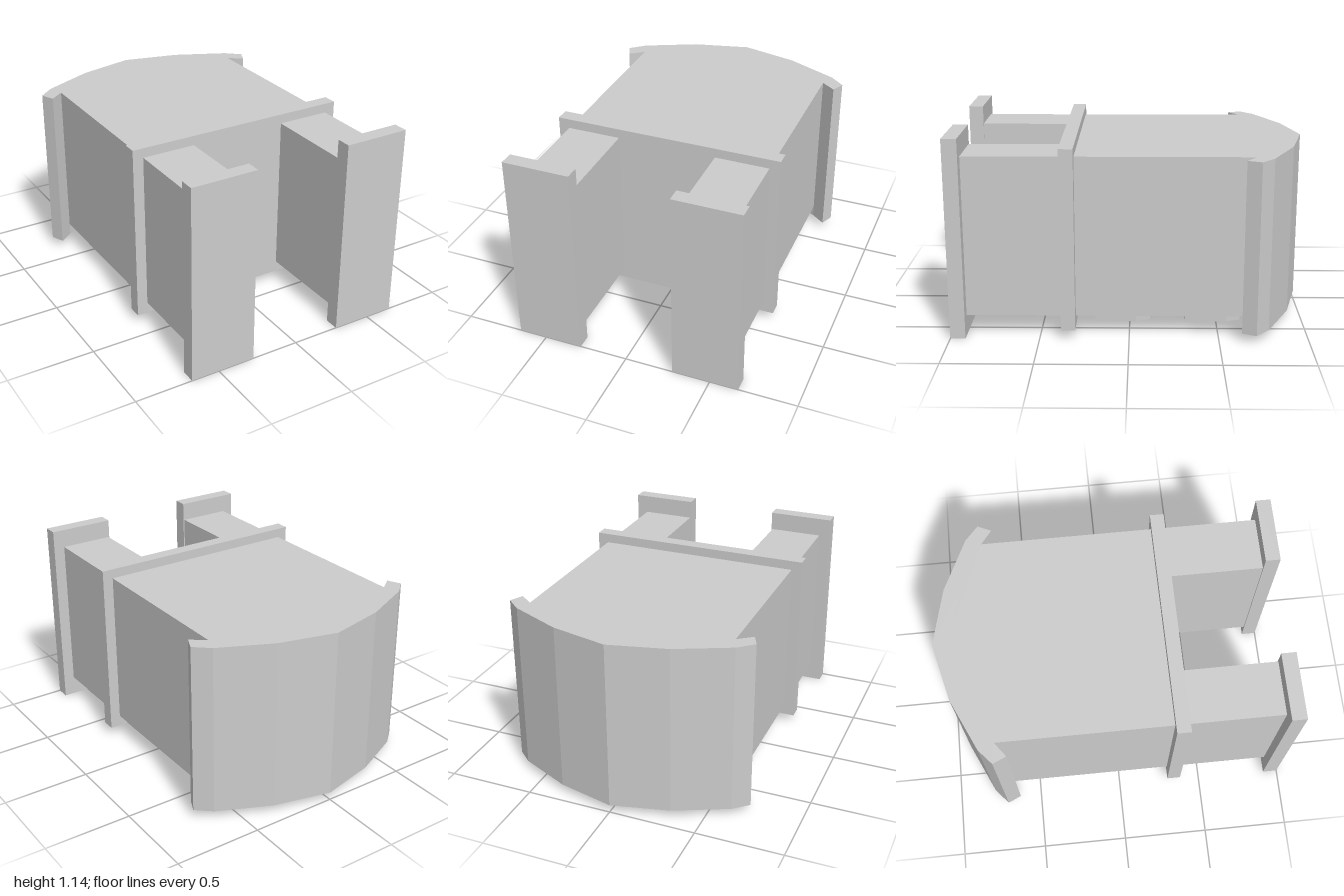
import * as THREE from 'three';

const stone = new THREE.MeshStandardMaterial({ color: 0xcccccc });
stone.name = 'light grey';

// Box given by its limits on each axis
function box(name, [x0, x1], [y0, y1], [z0, z1]) {
  const mesh = new THREE.Mesh(new THREE.BoxGeometry(x1 - x0, y1 - y0, z1 - z0), stone);
  mesh.position.set((x0 + x1) / 2, (y0 + y1) / 2, (z0 + z1) / 2);
  mesh.name = name;
  return mesh;
}

// Plan outline in (x, z), extruded from y0 up to y1
function slab(name, shape, y0, y1) {
  const geo = new THREE.ExtrudeGeometry(shape, { depth: y1 - y0, bevelEnabled: false });
  geo.rotateX(Math.PI / 2);
  geo.translate(0, y1, 0);
  const mesh = new THREE.Mesh(geo, stone);
  mesh.name = name;
  return mesh;
}

const points = (list) => list.map(([x, z]) => new THREE.Vector2(x, z));
const mirrored = (list) => list.map(([x, z]) => [-x, z]).reverse();

// Arched outline: straight sill at z0, faceted round head ending at z1
function arch(cx, half, z0, z1) {
  const pts = [[cx - half, z0], [cx + half, z0]];
  for (let i = 0; i <= 4; i++) {
    const a = (i / 4) * Math.PI;
    pts.push([cx + half * Math.cos(a), z1 + half - half * Math.sin(a)]);
  }
  return points(pts);
}

export function createModel() {
  const model = new THREE.Group();
  model.name = 'gatehouse';

  // Main block, its end following the underside of the roof
  const inner = [[0.598, -0.69], [0.3, -0.835]];
  const bodyOutline = [[-0.598, 0.32], [0.598, 0.32], ...inner, [0, -0.912], ...mirrored(inner)];
  model.add(slab('body', new THREE.Shape(points(bodyOutline)), 0.115, 1.03));

  // Curved roof shell with overhanging eaves
  const outer = [[0.33, -0.92], [0.63, -0.78], [0.715, -0.705]];
  const under = [[0.68, -0.627], ...inner];
  const roofOutline = [[0, -1], ...outer, ...under, [0, -0.912], ...mirrored(under), ...mirrored(outer)];
  model.add(slab('roof', new THREE.Shape(points(roofOutline)), 0.045, 1.03));

  // Band between body and legs
  model.add(box('band', [-0.66, 0.66], [0.05, 1.085], [0.3, 0.38]));

  // Legs with wide foot plates
  for (const side of [-1, 1]) {
    const span = (a, b) => (side > 0 ? [a, b] : [-b, -a]);
    const name = side > 0 ? 'left' : 'right';
    model.add(box(name + 'Leg', span(0.287, 0.598), [0.115, 1.03], [0.37, 0.92]));
    model.add(box(name + 'Foot', span(0.28, 0.665), [0, 1.14], [0.915, 1]));
  }

  // Two rows of arched window frames, the middle one of the far row taller
  for (const column of [-1, 0, 1]) {
    for (const [sill, top] of [[0.2, -0.153], [-0.316, column === 0 ? -0.768 : -0.669]]) {
      const cx = -0.005 + column * 0.347;
      const frame = new THREE.Shape(arch(cx, 0.115, sill, top));
      frame.holes.push(new THREE.Path(arch(cx, 0.075, sill - 0.04, top + 0.04)));
      model.add(slab('windowFrame', frame, 0.025, 0.07));
    }
  }
  return model;
}
